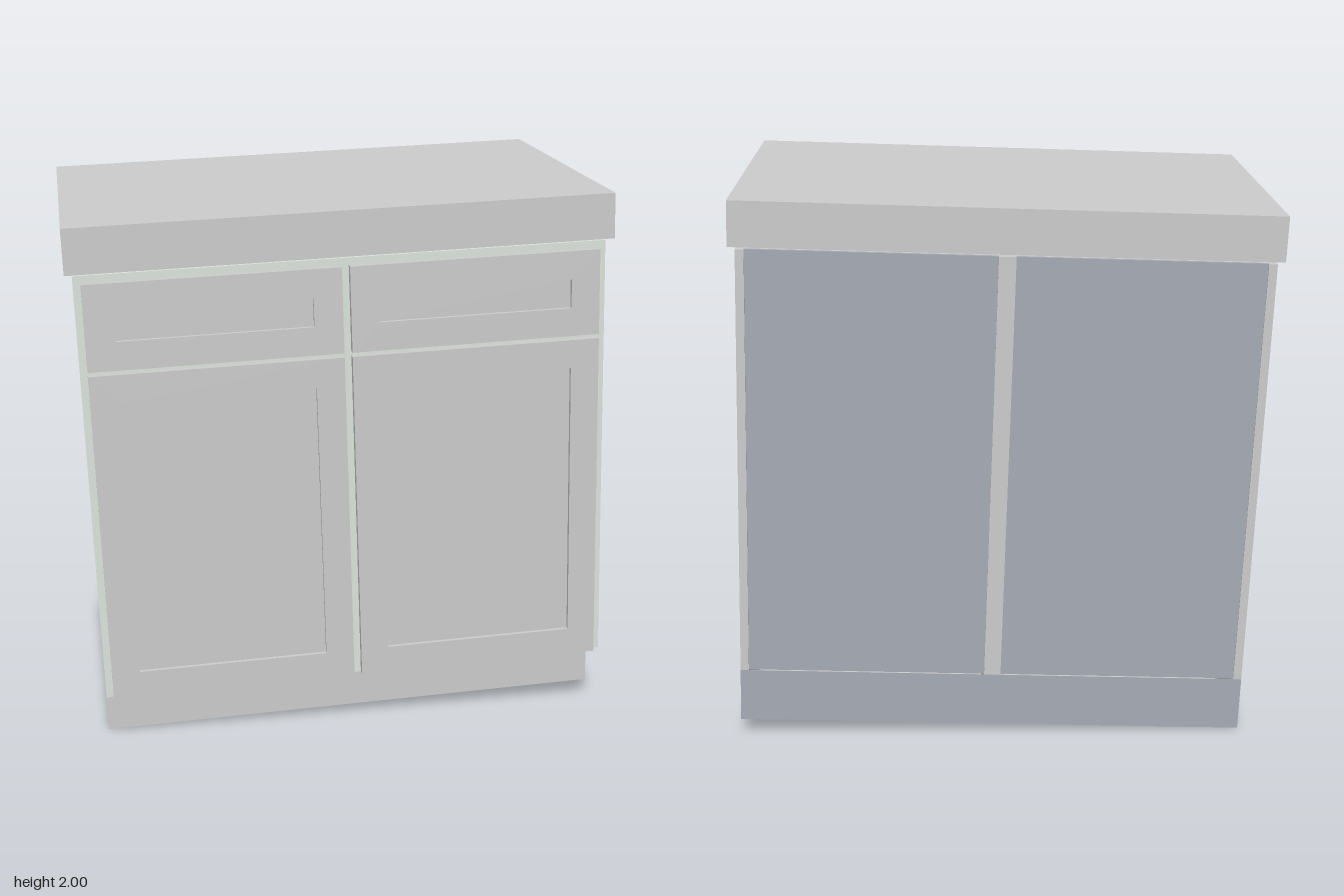
import * as THREE from 'three';

const W = 1.842, H = 1.768, HALF = W / 2, T = 0.03; // carcass width, height, one bay, board
const BACK = -0.625, KICK_Z = 0.45, KICK_H = 0.208, FRONT = 0.577;

const grey = new THREE.MeshStandardMaterial({ color: 0xcccccc });
const paleGreen = new THREE.MeshStandardMaterial({ color: 0xdbe2db });
const blueGrey = new THREE.MeshStandardMaterial({ color: 0xa6aab5 });

// box given by its minimum and maximum corners
function board(name, min, max, material = grey) {
  const size = max.map((v, i) => v - min[i]);
  const mesh = new THREE.Mesh(new THREE.BoxGeometry(...size), material);
  mesh.position.set(...min.map((v, i) => (v + max[i]) / 2));
  mesh.name = name;
  return mesh;
}

// upright board with a toe notch cut from its lower front corner
function sidePanel(name, x) {
  const outline = [
    [BACK, 0], [KICK_Z, 0], [KICK_Z, KICK_H], [FRONT, KICK_H], [FRONT, H], [BACK, H],
  ].map(([z, y]) => new THREE.Vector2(-z, y));
  const geometry = new THREE.ExtrudeGeometry(new THREE.Shape(outline), { depth: T, bevelEnabled: false });
  geometry.rotateY(Math.PI / 2);
  const mesh = new THREE.Mesh(geometry, grey);
  mesh.position.x = x;
  mesh.name = name;
  return mesh;
}

// rectangular frame around a recessed centre panel
function panelFront(name, x0, x1, y0, y1) {
  const group = new THREE.Group();
  group.name = name;
  const rect = (C, a, b, c, d) => new C([[a, c], [b, c], [b, d], [a, d]].map((p) => new THREE.Vector2(...p)));
  const inset = 0.101, back = 0.603, thickness = 0.026;
  const shape = rect(THREE.Shape, x0, x1, y0, y1);
  shape.holes.push(rect(THREE.Path, x0 + inset, x1 - inset, y0 + inset, y1 - inset));
  const frame = new THREE.Mesh(
    new THREE.ExtrudeGeometry(shape, { depth: thickness, bevelEnabled: false }), grey);
  frame.position.z = back;
  frame.name = 'frontFrame';
  group.add(frame, board('recessedPanel',
    [x0 + inset, y0 + inset, back], [x1 - inset, y1 - inset, back + 0.012]));
  return group;
}

export function createModel() {
  const model = new THREE.Group();
  model.name = 'cabinet';
  const body = new THREE.Group();
  body.name = 'tiltedBody';
  model.add(body);

  // two equal bays side by side
  for (const [side, x] of [['right', 0], ['left', HALF]]) {
    const bay = new THREE.Group();
    bay.name = side + 'Bay';
    const a = x + T, b = x + HALF - T;
    bay.add(
      sidePanel('outerPanel', x),
      sidePanel('innerPanel', x + HALF - T),
      board('backPanel', [a, 0.2, BACK + 0.006], [b, H, BACK + 0.02], blueGrey),
      board('baseBack', [x, 0, BACK - 0.002], [x + HALF, 0.2, BACK], blueGrey),
      board('baseBottom', [a, 0, BACK], [b, 0.02, KICK_Z]),
      board('floor', [a, 0.285, BACK + 0.02], [b, 0.315, FRONT]),
      board('topDeck', [a, H - T, BACK + 0.02], [b, H, FRONT]),
      board('toeKick', [x, 0, KICK_Z], [x + HALF, KICK_H, KICK_Z + 0.002]),
      board('faceFrame', [x, KICK_H, FRONT], [x + HALF, H, 0.603], paleGreen),
    );
    // fronts leave a wider margin on the outer edge of the cabinet
    const x0 = x === 0 ? 0.026 : x + 0.014;
    const x1 = x === 0 ? HALF - 0.014 : W - 0.026;
    bay.add(
      panelFront('door', x0, x1, KICK_H, 1.423),
      panelFront('drawerFront', x0, x1, 1.438, 1.742),
    );
    body.add(bay);
  }

  // worktop resting just clear of the carcass
  body.add(board('worktop', [-0.026, 1.776, -0.629], [1.868, 1.935, 0.625]));

  // the whole cabinet leans by two degrees
  body.rotation.z = THREE.MathUtils.degToRad(2);
  body.position.set(-0.877, 0.002, 0);
  return model;
}
